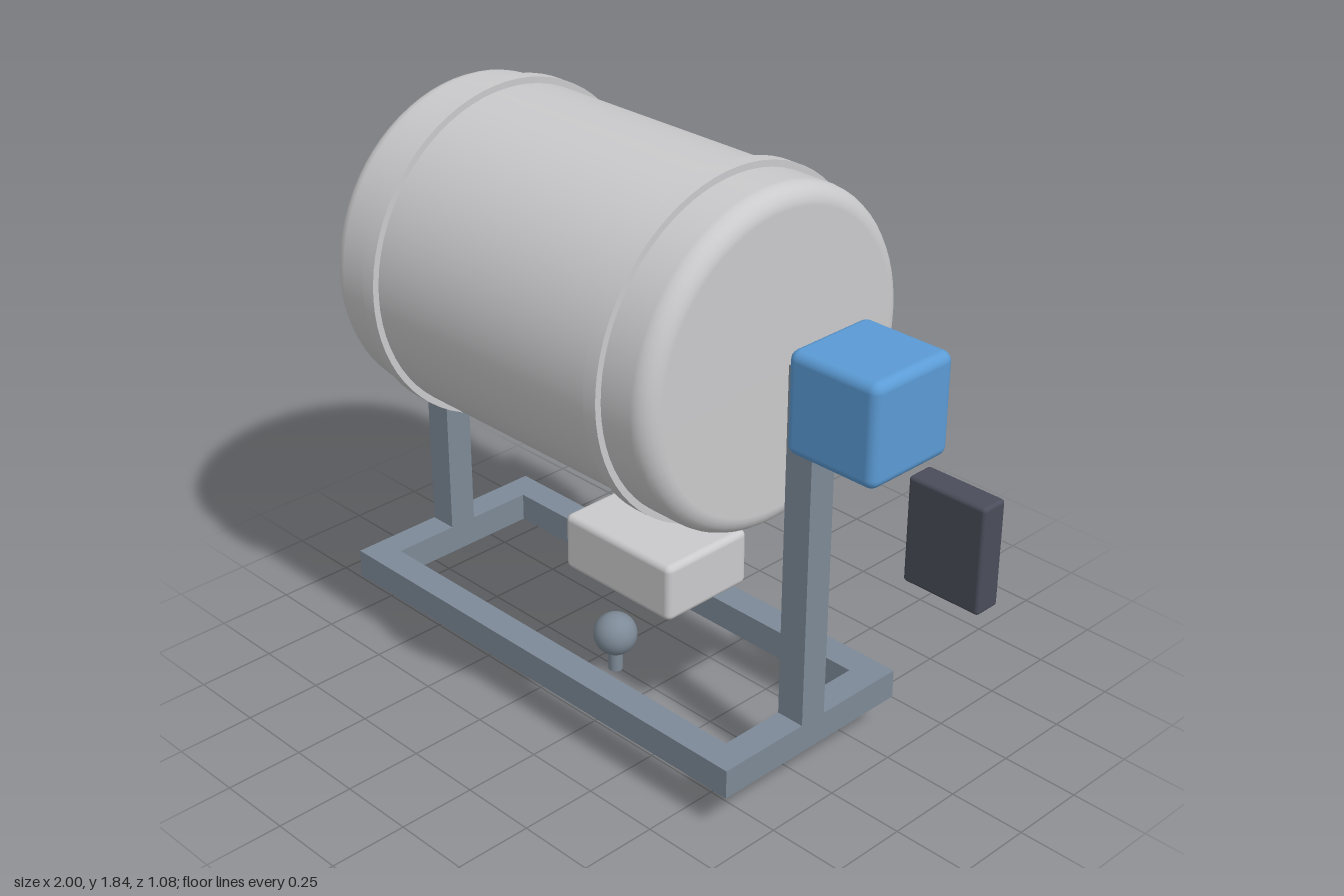
import * as THREE from 'three';
import { RoundedBoxGeometry } from 'three/addons/geometries/RoundedBoxGeometry.js';

export function createModel() {
  const model = new THREE.Group();
  model.name = 'drumOnStand';

  const material = (name, color) => {
    const m = new THREE.MeshStandardMaterial({ color });
    m.name = name;
    return m;
  };
  const lightGrey = material('light grey', 0xcacacc);
  const slate = material('slate frame', 0x7d8a97);
  const blue = material('blue', 0x5b9bd5);
  const charcoal = material('charcoal', 0x4a4d5a);

  const add = (name, geometry, mat, x = 0, y = 0, z = 0) => {
    const mesh = new THREE.Mesh(geometry, mat);
    mesh.name = name;
    mesh.position.set(x, y, z);
    model.add(mesh);
    return mesh;
  };
  // Box given by its limits on each axis, with optional rounded edges
  const box = (name, mat, [x0, x1], [y0, y1], [z0, z1], r = 0) => {
    const size = [x1 - x0, y1 - y0, z1 - z0];
    const geometry = r ? new RoundedBoxGeometry(...size, 4, r) : new THREE.BoxGeometry(...size);
    return add(name, geometry, mat, (x0 + x1) / 2, (y0 + y1) / 2, (z0 + z1) / 2);
  };

  const cz = 0.005; // depth of the drum axis
  const axisY = 1.312;

  // Drum: lathe with rounded rims, turned to lie along x
  const R = 0.51, half = 0.668, fillet = 0.06;
  const profile = [new THREE.Vector2(0, -half)];
  for (const side of [-1, 1]) {
    for (let i = 0; i <= 6; i++) {
      const a = (side < 0 ? i - 6 : i) / 6 * Math.PI / 2;
      profile.push(new THREE.Vector2(
        R - fillet + fillet * Math.cos(a),
        side * (half - fillet) + fillet * Math.sin(a)));
    }
  }
  profile.push(new THREE.Vector2(0, half));
  add('drum', new THREE.LatheGeometry(profile, 72), lightGrey, -0.166, axisY, cz).rotation.z = -Math.PI / 2;

  // Hoops around the drum
  for (const x of [-0.634, 0.307]) {
    add('hoop', new THREE.CylinderGeometry(0.53, 0.53, 0.048, 72), lightGrey, x, axisY, cz).rotation.z = Math.PI / 2;
  }

  // Hatch on the back of the drum
  box('hatch', lightGrey, [-0.283, -0.05], [1.2, 1.43], [-0.54, -0.49], 0.02);

  // Base frame: rectangle with a rectangular opening
  const beam = 0.094, w = 0.835, d = 0.36;
  const rectangle = (path, a, b) => path.moveTo(-a, -b).lineTo(a, -b).lineTo(a, b).lineTo(-a, b).closePath();
  const outline = new THREE.Shape();
  rectangle(outline, w, d);
  const opening = new THREE.Path();
  rectangle(opening, w - beam, d - beam);
  outline.holes.push(opening);
  const base = new THREE.ExtrudeGeometry(outline, { depth: beam, bevelEnabled: false });
  base.rotateX(-Math.PI / 2);
  add('baseFrame', base, slate, -0.165, 0.13, cz);

  // Posts
  for (const x of [-1, 0.576]) {
    box('post', slate, [x, x + beam], [0.224, 1.355], [cz - beam / 2, cz + beam / 2]);
  }

  // Motor on the left post
  box('motor', blue, [0.664, 0.976], [1.16, 1.47], [-0.151, 0.161], 0.03);

  // Supply box above the base
  box('supplyBox', lightGrey, [-0.402, 0.068], [0.27, 0.465], [-0.345, 0], 0.022);

  // Ball sensor with its stem
  add('sensorBall', new THREE.SphereGeometry(0.07, 32, 20), slate, -0.166, 0.13, cz);
  add('sensorStem', new THREE.CylinderGeometry(0.023, 0.023, 0.1, 24), slate, -0.166, 0.05, cz);

  // Control panel, its screen and its row of knobs facing back
  box('controlPanel', charcoal, [0.722, 0.997], [0.587, 0.935], [-0.396, -0.304], 0.012);
  box('screen', blue, [0.768, 0.958], [0.752, 0.874], [-0.414, -0.39]);
  [0.793, 0.862, 0.93].forEach((x, i) => {
    const knob = new THREE.CylinderGeometry(0.025, 0.025, 0.028, 24);
    add('knob', knob, i === 0 ? blue : lightGrey, x, 0.673, -0.403).rotation.x = Math.PI / 2;
  });

  // Keep rim shading crisp on the flat drum ends
  model.updateMatrixWorld(true);
  return model;
}
